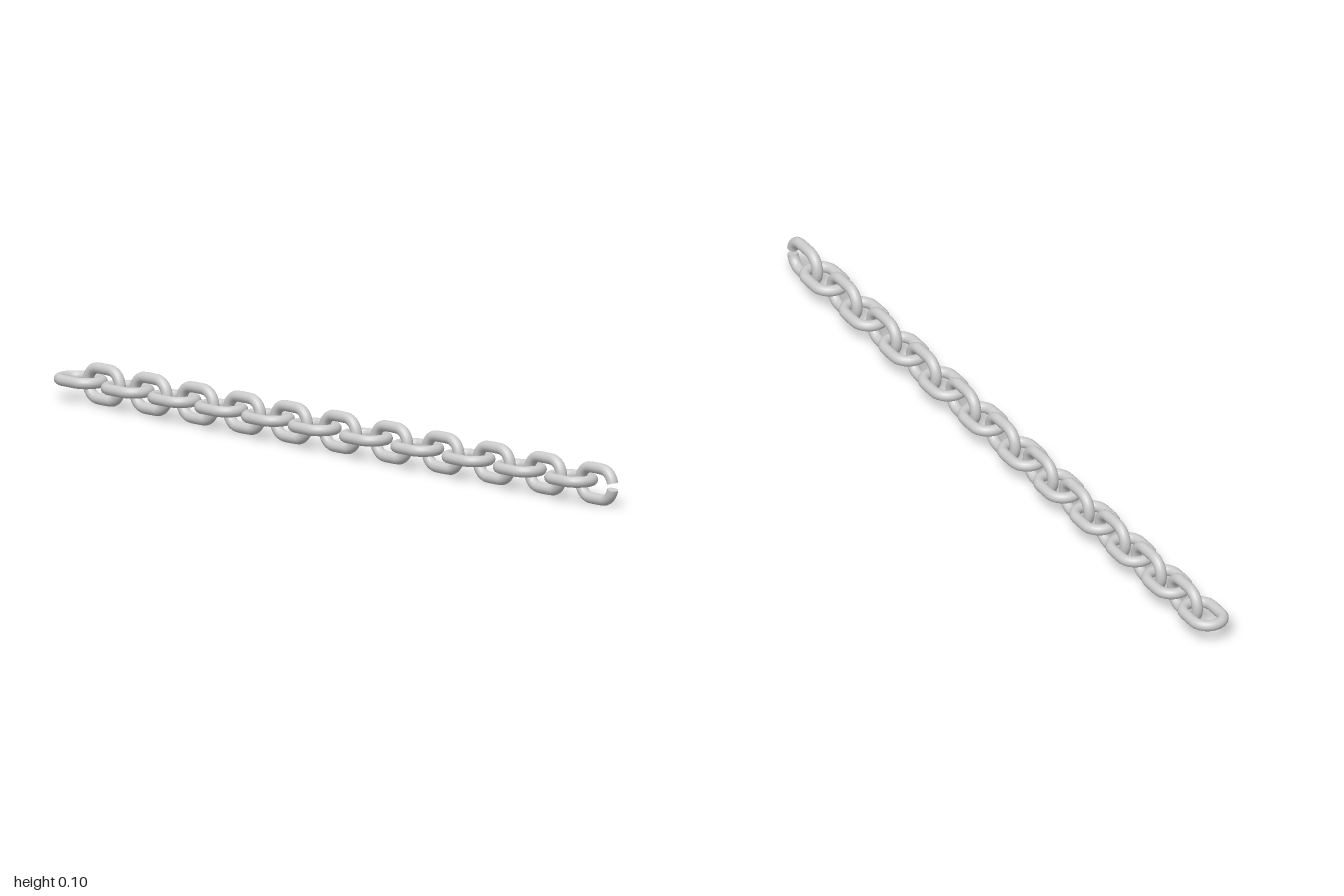
import * as THREE from 'three';

const WIRE = 0.0135;        // wire radius
const BEND = 0.0372;        // centreline radius of the rounded ends
const STRAIGHT = 0.0208;    // half length of the straight sides
const SLOPE = -0.0775;      // sideways drift of the chain along z

// Stadium-shaped centreline in the xz plane, starting at the +z end
function linkPath(gap) {
  const points = [];
  const steps = 12;
  const arc = (from, to, z) => {
    for (let i = 0; i <= steps; i++) {
      const a = from + (to - from) * i / steps;
      points.push(new THREE.Vector3(Math.sin(a) * BEND, 0, z + Math.cos(a) * BEND));
    }
  };
  arc(gap, Math.PI / 2, STRAIGHT);
  arc(Math.PI / 2, Math.PI * 1.5, -STRAIGHT);
  arc(Math.PI * 1.5, Math.PI * 2 - gap, STRAIGHT);
  if (gap === 0) points.pop();
  return new THREE.CatmullRomCurve3(points, gap === 0);
}

function linkGeometry(gap) {
  return new THREE.TubeGeometry(linkPath(gap), 64, WIRE, 16, gap === 0);
}

export function createModel() {
  const chain = new THREE.Group();
  chain.name = 'chain';
  const material = new THREE.MeshStandardMaterial({ color: 0xcccccc });
  const closed = linkGeometry(0);
  const gap = 0.19;
  const open = linkGeometry(gap);
  const yaw = Math.atan(SLOPE);

  // Links alternate upright and flat; the rear half hangs slightly slacker
  for (let i = 0; i < 22; i++) {
    const z = i < 11 ? 0.928 - i * 0.0923 : 0.0050 - 0.0923 - (i - 11) * 0.0842;
    const upright = i % 2 === 0;
    const link = new THREE.Group();
    link.name = upright ? 'uprightLink' : 'flatLink';
    link.rotation.set(0, yaw, upright ? Math.PI / 2 : 0);
    link.position.set(-0.004 + SLOPE * z, BEND + WIRE, z);

    const wire = new THREE.Mesh(i === 0 ? open : closed, material);
    wire.name = i === 0 ? 'openLinkWire' : 'linkWire';
    link.add(wire);

    // Flat cut faces of the open end link
    if (i === 0) {
      for (const side of [1, -1]) {
        const cap = new THREE.Mesh(new THREE.CircleGeometry(WIRE, 16), material);
        cap.name = 'cutFace';
        cap.position.set(side * Math.sin(gap) * BEND, 0, STRAIGHT + Math.cos(gap) * BEND);
        cap.rotation.y = side * (gap - Math.PI / 2);
        link.add(cap);
      }
    }
    chain.add(link);
  }
  return chain;
}
